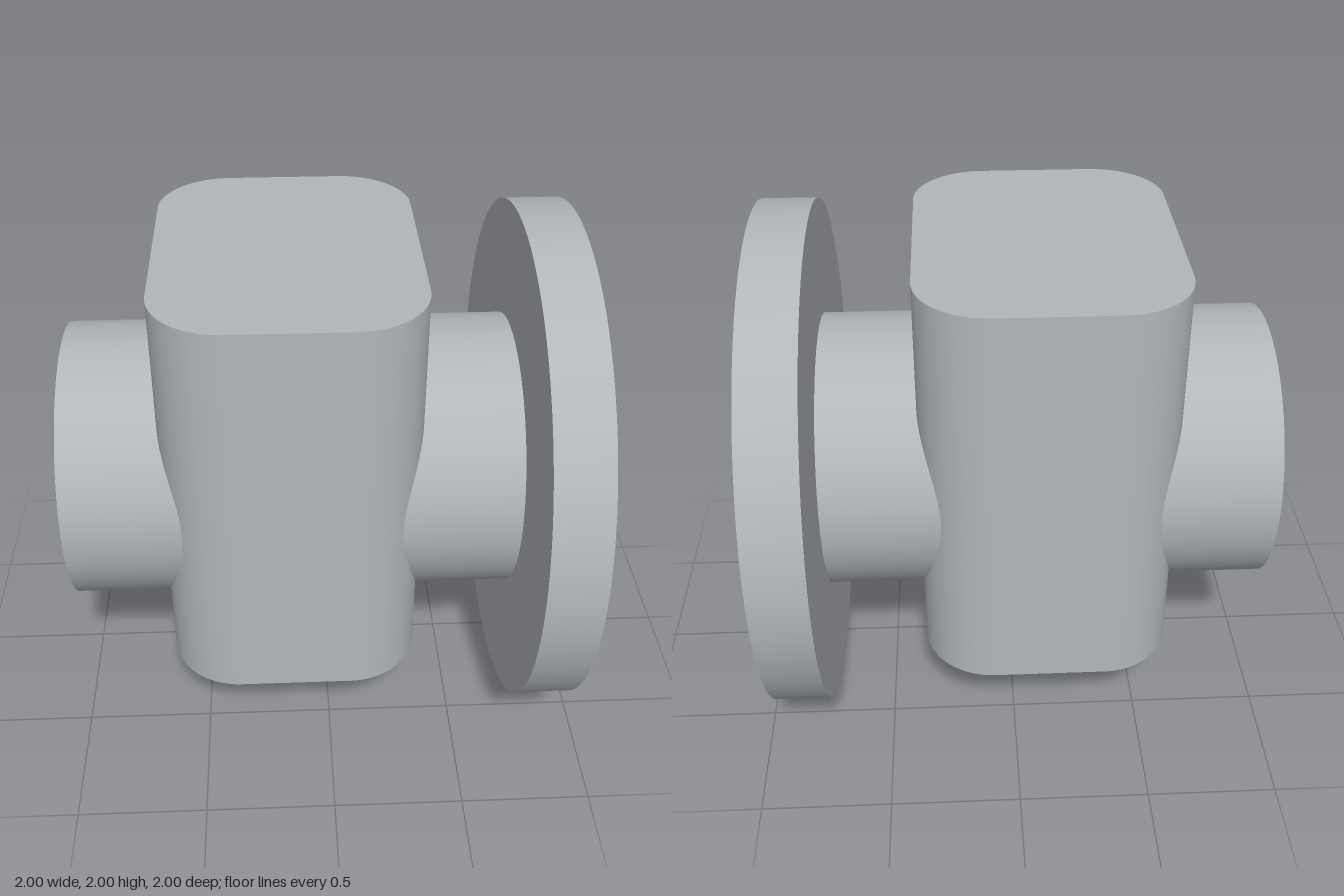
import * as THREE from 'three';
import { toCreasedNormals } from 'three/addons/utils/BufferGeometryUtils.js';

const AXIS_Y = 1;

export function createModel() {
  const model = new THREE.Group();
  model.name = 'flangedShaftBlock';
  const metal = new THREE.MeshStandardMaterial({ color: 0xb2b6bb });
  metal.name = 'light grey metal';

  // Disc or rod lying along x between two x positions
  function addRod(name, radius, x0, x1) {
    const geometry = new THREE.CylinderGeometry(radius, radius, x1 - x0, 128);
    geometry.rotateZ(-Math.PI / 2);
    const mesh = new THREE.Mesh(geometry, metal);
    mesh.name = name;
    mesh.position.set((x0 + x1) / 2, AXIS_Y, 0);
    model.add(mesh);
  }

  // Upright block with rounded vertical corners
  const x0 = -0.63, x1 = 0.355, z = 0.63, r = 0.275;
  const outline = new THREE.Shape();
  outline.absarc(x1 - r, z - r, r, 0, Math.PI / 2);
  outline.absarc(x0 + r, z - r, r, Math.PI / 2, Math.PI);
  outline.absarc(x0 + r, r - z, r, Math.PI, Math.PI * 1.5);
  outline.absarc(x1 - r, r - z, r, Math.PI * 1.5, Math.PI * 2);
  outline.closePath();
  const extruded = new THREE.ExtrudeGeometry(outline, { depth: 1.615, bevelEnabled: false, curveSegments: 24 });
  extruded.rotateX(-Math.PI / 2);
  const block = new THREE.Mesh(toCreasedNormals(extruded, 0.5), metal);
  block.name = 'roundedBlock';
  block.position.y = 0.305;
  model.add(block);

  // Shaft through the block, with a wide flange near its left end
  addRod('shaft', 0.547, -1, 1);
  addRod('flange', 1, 0.727, 0.943);

  return model;
}
